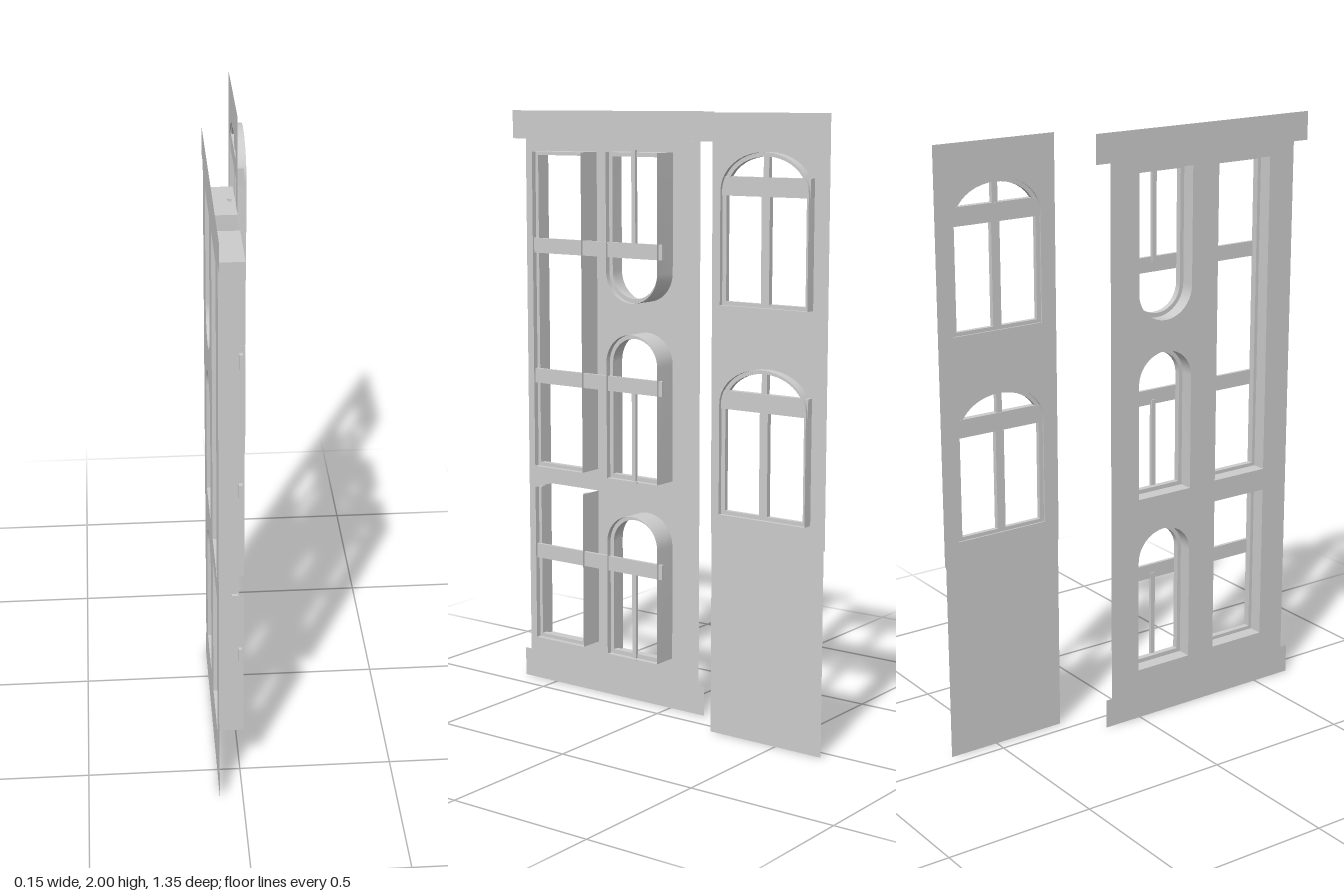
import * as THREE from 'three';
import { toCreasedNormals } from 'three/addons/utils/BufferGeometryUtils.js';

const stone = new THREE.MeshStandardMaterial({ color: 0xcccccc, side: THREE.DoubleSide });
stone.name = 'pale grey';

// Outlines are lists of (z, y) points
const pts = (list) => list.map(([z, y]) => new THREE.Vector2(z, y));
const rect = (z0, z1, y0, y1) => pts([[z0, y0], [z1, y0], [z1, y1], [z0, y1]]);

// Straight-sided outline closed by an elliptical arch; top below base turns it upside down
function arch(c, half, base, spring, top) {
  const list = [[c - half, base], [c + half, base]];
  for (let i = 0; i <= 20; i++) {
    const a = (i / 20) * Math.PI;
    list.push([c + half * Math.cos(a), spring + (top - spring) * Math.sin(a)]);
  }
  return pts(list);
}

function add(group, name, geometry) {
  const mesh = new THREE.Mesh(geometry, stone);
  mesh.name = name;
  group.add(mesh);
}

// Flat sheet facing +x
function sheet(group, name, outline, holes, x) {
  const shape = new THREE.Shape(outline);
  holes.forEach((h) => shape.holes.push(new THREE.Path(h)));
  const g = new THREE.ShapeGeometry(shape);
  // Mirror the plane onto (z, y)
  g.rotateY(-Math.PI / 2).translate(x, 0, 0);
  add(group, name, g);
}

// Solid frame between two outlines, from x0 to x1
function frame(group, name, outline, hole, x0, x1) {
  const shape = new THREE.Shape(outline);
  if (hole) shape.holes.push(new THREE.Path(hole));
  const g = new THREE.ExtrudeGeometry(shape, { depth: x1 - x0, bevelEnabled: false });
  g.rotateY(-Math.PI / 2).translate(x1, 0, 0);
  add(group, name, toCreasedNormals(g, 0.6));
}

// Thin sleeve swept from an outline along x
function sleeve(group, name, outline, x0, x1, closed = true) {
  const pos = [];
  const n = outline.length;
  for (let i = 0; i < (closed ? n : n - 1); i++) {
    const a = outline[i], b = outline[(i + 1) % n];
    if (a.distanceTo(b) < 1e-6) continue;
    pos.push(x0, a.y, a.x, x0, b.y, b.x, x1, b.y, b.x);
    pos.push(x0, a.y, a.x, x1, b.y, b.x, x1, a.y, a.x);
  }
  const g = new THREE.BufferGeometry();
  g.setAttribute('position', new THREE.Float32BufferAttribute(pos, 3));
  add(group, name, toCreasedNormals(g, 0.6));
}

function bar(group, name, x0, x1, y0, y1, z0, z1) {
  const g = new THREE.BoxGeometry(x1 - x0, y1 - y0, z1 - z0);
  g.translate((x0 + x1) / 2, (y0 + y1) / 2, (z0 + z1) / 2);
  add(group, name, g);
}

function mainFacade() {
  const group = new THREE.Group();
  group.name = 'mainFacade';
  const back = -0.075, front = 0.01, f0 = -0.028, f1 = -0.008;
  const holes = [];

  // Tall rectangular window
  const tall = rect(0.308, 0.518, 0.79, 1.865);
  holes.push(tall);
  sleeve(group, 'tallWindowReveal', tall, back, front);
  frame(group, 'tallWindowFrame', tall, rect(0.32, 0.506, 0.802, 1.853), f0, f1);

  // Lower rectangular window, open at its head
  holes.push(rect(0.308, 0.518, 0.18, 0.715));
  sleeve(group, 'lowerWindowReveal',
    pts([[0.308, 0.715], [0.308, 0.18], [0.518, 0.18], [0.518, 0.715]]), back, front, false);
  frame(group, 'lowerWindowFrame', pts([[0.308, 0.715], [0.308, 0.18], [0.518, 0.18], [0.518, 0.715],
    [0.506, 0.715], [0.506, 0.192], [0.32, 0.192], [0.32, 0.715]]), null, f0, f1);

  // Arched windows: [square end, direction of the arch]
  for (const [base, s] of [[0.175, 1], [0.785, 1], [1.868, -1]]) {
    const outer = arch(0.098, 0.105, base, base + s * 0.39, base + s * 0.49);
    const inner = arch(0.098, 0.091, base + s * 0.014, base + s * 0.39, base + s * 0.476);
    holes.push(outer);
    sleeve(group, 'archedWindowReveal', outer, back, front);
    frame(group, 'archedWindowFrame', outer, inner, f0, f1);
    const ends = [base - s * 0.008, base + s * 0.31].sort((a, b) => a - b);
    bar(group, 'archedWindowMullion', -0.012, -0.001, ends[0], ends[1], 0.09, 0.106);
  }

  // Transom rails running across both window columns
  for (const y of [0.49, 1.105, 1.55]) bar(group, 'transomRail', -0.008, 0.003, y - 0.025, y + 0.025, -0.022, 0.533);

  // Wall sheet, stepped plinth and cornice
  sheet(group, 'wall', rect(-0.117, 0.617, 0.1, 1.905), holes, back);
  sheet(group, 'plinth', rect(-0.14, 0.643, 0, 0.1), [], back);
  sheet(group, 'cornice', rect(-0.17, 0.675, 1.905, 2), [], back);
  return group;
}

function sideFacade() {
  const group = new THREE.Group();
  group.name = 'sideFacade';
  const c = -0.46, back = 0.042, front = 0.075;
  const holes = [];

  for (const y of [0.738, 1.405]) {
    const spring = y + 0.353;
    const outer = arch(c, 0.161, y, spring, y + 0.475);
    const inner = arch(c, 0.146, y + 0.012, spring, y + 0.462);
    holes.push(outer);
    sleeve(group, 'sideWindowReveal', outer, back, front);
    frame(group, 'sideWindowFrame', outer, inner, 0.047, 0.062);
    // Head rail, casement mullion and fanlight mullion
    bar(group, 'sideTransom', 0.045, 0.066, y + 0.34, y + 0.399, c - 0.163, c + 0.163);
    bar(group, 'sideMullion', 0.047, 0.064, y + 0.006, y + 0.35, c - 0.015, c + 0.015);
    bar(group, 'fanlightMullion', 0.047, 0.062, y + 0.39, y + 0.468, c - 0.01, c + 0.01);
  }

  // Wall sheet, slightly narrower at its foot
  sheet(group, 'sideWall', pts([[-0.671, 0], [-0.249, 0], [-0.249, 0.665], [-0.246, 0.665],
    [-0.246, 1.998], [-0.675, 1.998], [-0.675, 0.665], [-0.671, 0.665]]), holes, back);
  return group;
}

export function createModel() {
  const model = new THREE.Group();
  model.name = 'facadePanels';
  model.add(mainFacade(), sideFacade());
  return model;
}
